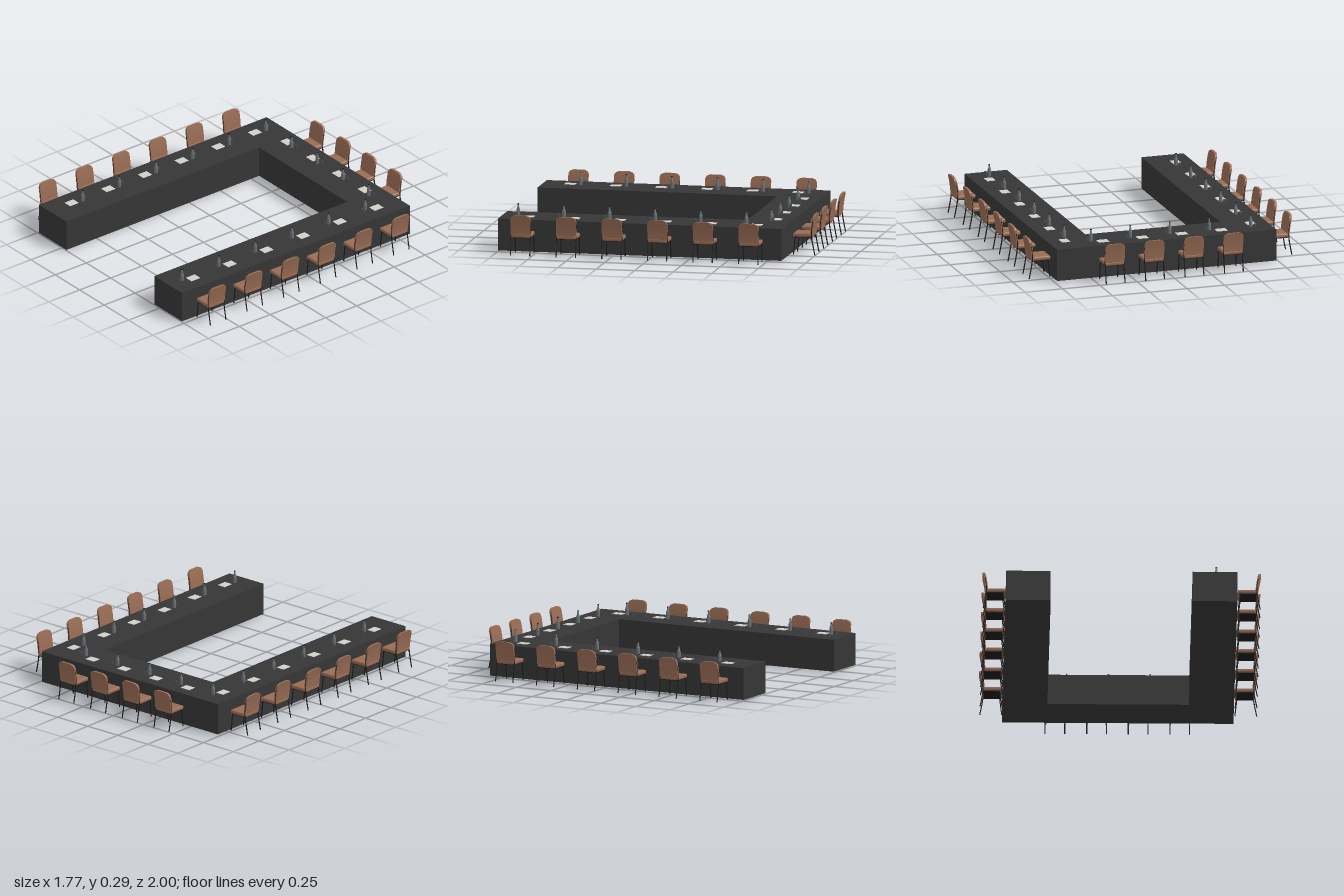
import * as THREE from 'three';
import { RoundedBoxGeometry } from 'three/addons/geometries/RoundedBoxGeometry.js';

const mat = (name, color, side = THREE.FrontSide) => {
  const m = new THREE.MeshStandardMaterial({ color, side });
  m.name = name;
  return m;
};

const V = (x, y, z) => new THREE.Vector3(x, y, z);

function add(parent, name, geometry, material, x = 0, y = 0, z = 0) {
  const mesh = new THREE.Mesh(geometry, material);
  mesh.name = name;
  mesh.position.set(x, y, z);
  parent.add(mesh);
  return mesh;
}

// Depth of the backrest centre line at height y: upright below, flaring outward at the top
const backLine = (y) => {
  const t = (y - 0.135) / 0.125;
  return -0.122 - 0.008 * t - 0.012 * t * t;
};

// Bent backrest with rounded upper corners
function backrestGeometry() {
  const bottom = 0.135, height = 0.125, r = 0.03;
  const g = new THREE.BoxGeometry(0.13, height, 0.015, 10, 16, 1);
  const p = g.attributes.position;
  for (let i = 0; i < p.count; i++) {
    const y = p.getY(i) + bottom + height / 2;
    const into = Math.max(0, y - (bottom + height - r));
    const half = 0.065 - r + Math.sqrt(Math.max(0, r * r - into * into));
    p.setXYZ(i, p.getX(i) / 0.065 * half, y, p.getZ(i) + backLine(y));
  }
  g.computeVertexNormals();
  return g;
}

const lathe = (points, sides) =>
  new THREE.LatheGeometry(points.map(([r, y]) => new THREE.Vector2(r, y)), sides);

export function createModel() {
  const root = new THREE.Group();
  root.name = 'conferenceTableSet';

  const cloth = mat('charcoal cloth', 0x363636);
  const leather = mat('brown upholstery', 0x986c54);
  const metal = mat('black metal', 0x1c1c1c);
  const paper = mat('paper', 0xd0d0c8);
  const bottleGlass = mat('grey bottle glass', 0x697276, THREE.DoubleSide);
  const cupGlass = mat('dark drinking glass', 0x50575a, THREE.DoubleSide);

  // U-shaped table, open toward the front (shape y becomes -z)
  const outline = [[-0.735, -1], [-0.453, -1], [-0.453, 0.557], [0.447, 0.557],
    [0.447, -1], [0.731, -1], [0.731, 0.839], [-0.735, 0.839]];
  const tableShape = new THREE.Shape(outline.map(([x, y]) => new THREE.Vector2(x, y)));
  const tableGeo = new THREE.ExtrudeGeometry(tableShape, { depth: 0.205, bevelEnabled: false });
  tableGeo.rotateX(-Math.PI / 2);
  add(root, 'table', tableGeo, cloth, 0, 0.005, 0);

  // Shared geometry for every place
  const seatGeo = new RoundedBoxGeometry(0.13, 0.026, 0.128, 2, 0.009);
  const backGeo = backrestGeometry();
  const railGeo = new THREE.BoxGeometry(0.118, 0.005, 0.108);
  const frontLegGeo = new THREE.TubeGeometry(
    new THREE.LineCurve3(V(0, 0.115, -0.018), V(0, 0, -0.005)), 1, 0.0038, 6);
  const rearLegGeo = new THREE.TubeGeometry(new THREE.CatmullRomCurve3([
    V(0, 0, -0.145), V(0, 0.06, -0.133), V(0, 0.12, -0.124),
    V(0, 0.17, backLine(0.17)), V(0, 0.215, backLine(0.215))]), 12, 0.0038, 6);
  const sheetGeo = new THREE.BoxGeometry(0.07, 0.003, 0.056);
  const bottleGeo = lathe([[0, 0], [0.011, 0], [0.012, 0.003], [0.012, 0.036], [0.0105, 0.046],
    [0.006, 0.058], [0.0048, 0.072], [0.0055, 0.073], [0.0055, 0.077], [0, 0.077]], 14);
  const cupGeo = lathe([[0, 0.001], [0.0065, 0], [0.0095, 0.025], [0.0085, 0.025], [0.006, 0.003], [0, 0.003]], 12);
  const capGeo = new THREE.CylinderGeometry(0.0056, 0.0056, 0.006, 10);

  // Chair facing +z, with the front of its seat at z = 0
  function makeChair() {
    const chair = new THREE.Group();
    chair.name = 'chair';
    add(chair, 'seat', seatGeo, leather, 0, 0.127, -0.066);
    add(chair, 'backrest', backGeo, leather);
    add(chair, 'seatFrame', railGeo, metal, 0, 0.113, -0.068);
    for (const s of [-1, 1]) {
      add(chair, 'frontLeg', frontLegGeo, metal, s * 0.06, 0, 0);
      add(chair, 'rearLeg', rearLegGeo, metal, s * 0.0625, 0, 0);
    }
    return chair;
  }

  // Chair with its paper, bottle and glass on the table
  function addPlace(x, z, turn) {
    const place = new THREE.Group();
    place.name = 'place';
    place.add(makeChair());
    add(place, 'notepad', sheetGeo, paper, 0, 0.2115, 0.112);
    add(place, 'bottle', bottleGeo, bottleGlass, 0.072, 0.21, 0.134);
    add(place, 'bottleCap', capGeo, metal, 0.072, 0.287, 0.134);
    add(place, 'drinkingGlass', cupGeo, cupGlass, 0.102, 0.21, 0.118);
    place.position.set(x, 0, z);
    place.rotation.y = turn;
    root.add(place);
  }

  for (let i = 0; i < 4; i++) addPlace(-0.399 + i * 0.264, -0.852, 0);
  for (let i = 0; i < 6; i++) {
    const z = -0.656 + i * 0.296;
    addPlace(-0.735, z, Math.PI / 2);
    addPlace(0.733, z, -Math.PI / 2);
  }
  return root;
}
